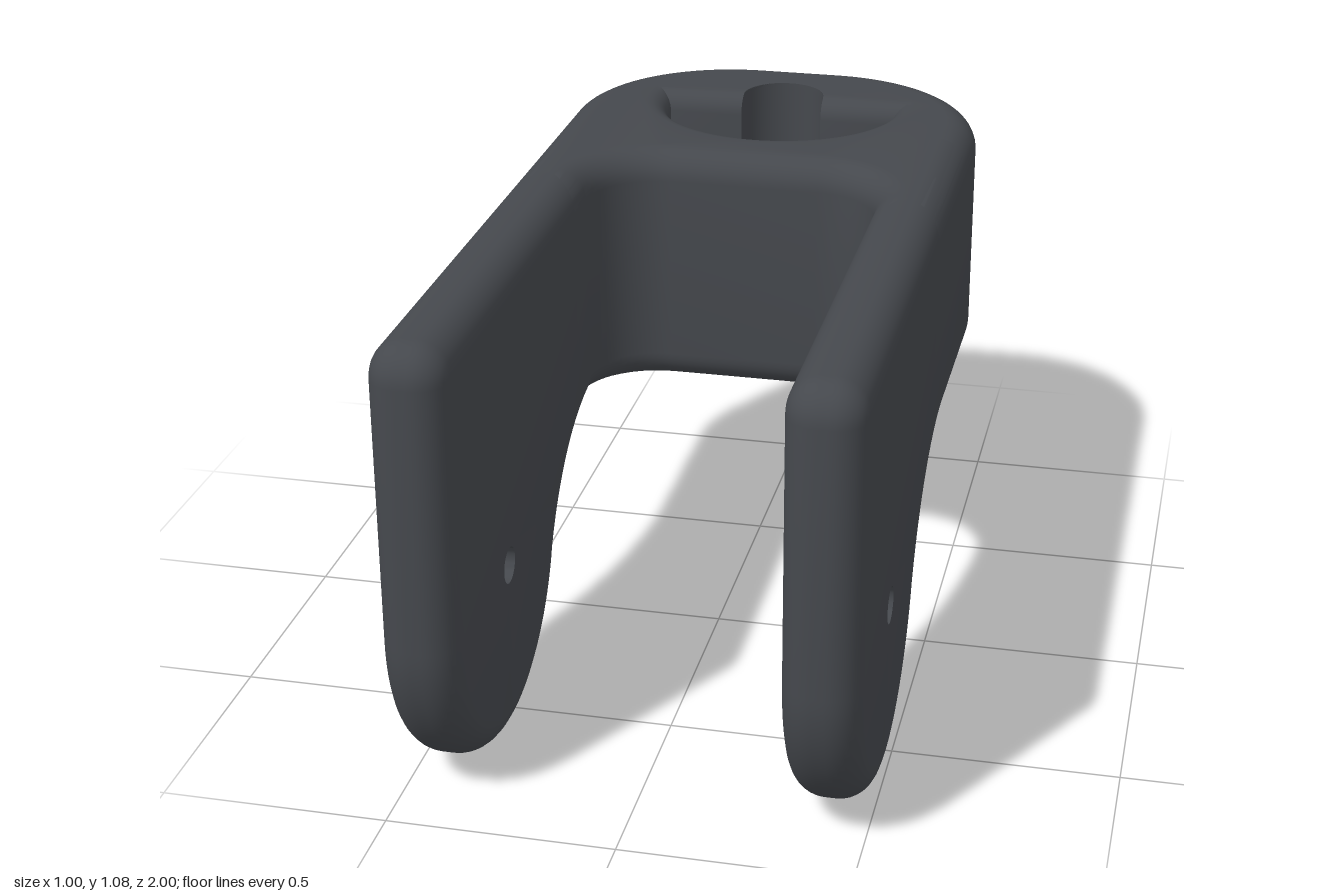
import * as THREE from 'three';
import { toCreasedNormals } from 'three/addons/utils/BufferGeometryUtils.js';

const V2 = (u, v) => new THREE.Vector2(u, v);
const BEVEL = 0.07, TOP = 1.08, UNDER = 0.5;

function arc(cu, cv, r, a0, a1, n) {
  return Array.from({ length: n + 1 }, (_, i) => {
    const a = a0 + (a1 - a0) * i / n;
    return V2(cu + r * Math.cos(a), cv + r * Math.sin(a));
  });
}

// drop points that nearly coincide with the one before
const clean = pts => pts.filter((p, i) => p.distanceTo(pts[(i + pts.length - 1) % pts.length]) > 0.004);

// move a counter-clockwise outline inwards with mitred corners
function inset(pts, d) {
  return pts.map((p, i) => {
    const prev = pts[(i + pts.length - 1) % pts.length], next = pts[(i + 1) % pts.length];
    const e0 = p.clone().sub(prev).normalize(), e1 = next.clone().sub(p).normalize();
    const n = V2(-e0.y - e1.y, e0.x + e1.x);
    return p.clone().addScaledVector(n, 2 * d / n.lengthSq());
  });
}

// collects triangles in (u, v, w), w being the direction of thickness
class Solid {
  constructor() { this.positions = []; }
  tri(...corners) { for (const [p, w] of corners) this.positions.push(p.x, p.y, w); }
  loft(rings) {
    for (let k = 0; k + 1 < rings.length; k++) {
      const [a, wa] = rings[k], [b, wb] = rings[k + 1];
      a.forEach((p, i) => {
        const j = (i + 1) % a.length;
        this.tri([p, wa], [a[j], wa], [b[j], wb]);
        this.tri([p, wa], [b[j], wb], [b[i], wb]);
      });
    }
  }
  cap(contour, holes, w, up) {
    const all = [contour, ...holes].flat();
    for (const [i, j, k] of THREE.ShapeUtils.triangulateShape(contour, holes)) {
      const a = all[i], b = all[j], c = all[k];
      const ccw = b.clone().sub(a).cross(c.clone().sub(a)) > 0;
      if (ccw === up) this.tri([a, w], [b, w], [c, w]);
      else this.tri([a, w], [c, w], [b, w]);
    }
  }
  // slab with both rims rounded over
  slab(outline, w0, w1, bottomHoles, topHoles) {
    const rings = [], steps = 8;
    for (let s = 0; s <= 2 * steps + 1; s++) {
      const upper = s > steps;
      const a = (upper ? s - steps - 1 : steps - s) / steps * Math.PI / 2;
      const ring = inset(outline, BEVEL * (1 - Math.cos(a)));
      const rise = BEVEL * (1 - Math.sin(a));
      rings.push([ring, upper ? w1 - rise : w0 + rise]);
    }
    this.loft(rings);
    this.cap(rings[0][0], bottomHoles, w0, false);
    this.cap(rings.at(-1)[0], topHoles, w1, true);
  }
  geometry(toXYZ) {
    const g = new THREE.BufferGeometry(), out = [];
    for (let i = 0; i < this.positions.length; i += 3) out.push(...toXYZ(...this.positions.slice(i, i + 3)));
    g.setAttribute('position', new THREE.Float32BufferAttribute(out, 3));
    return toCreasedNormals(g, 0.5);
  }
}

// socket outline in (z, x): half disc with a round key notch, widened by f
function socketOutline(f) {
  const r = 0.28 + f, back = -0.72 - f;
  const a = Math.PI / 2 + Math.asin(f / r);
  const b = Math.PI / 2 + Math.asin(Math.max(0, f - 0.03) / 0.1);
  return [
    ...arc(-0.72, 0, r, -a, a, 40),
    V2(back, 0.1),
    ...arc(-0.75, 0, 0.1, b, 2 * Math.PI - b, 20),
    V2(back, -0.1),
  ];
}

function bodyGeometry() {
  // half of the plan in (z, x), from the notch wall round to the back
  const half = [
    ...arc(-0.1, 0.175, 0.16, Math.PI, Math.PI / 2, 12),
    V2(0, 0.335), V2(0, 0.5),
    ...arc(-0.6, 0.1, 0.4, Math.PI / 2, Math.PI, 24),
  ];
  const outline = clean([...half, ...half.map(p => V2(p.x, -p.y)).reverse()]);

  // socket with a rounded lip, then straight walls down to a floor
  const lip = 0.05, floor = TOP - 0.4, rings = [];
  for (let s = 0; s <= 6; s++) {
    const a = (1 - s / 6) * Math.PI / 2;
    rings.push([socketOutline(lip * (1 - Math.cos(a))), TOP - lip * (1 - Math.sin(a))]);
  }
  rings.push([socketOutline(0), floor]);

  const solid = new Solid();
  solid.slab(outline, UNDER, TOP, [], [rings[0][0]]);
  solid.loft(rings);
  solid.cap(rings.at(-1)[0], [], floor, true);
  return solid.geometry((z, x, y) => [x, y, z]);
}

function armGeometry() {
  // side profile in (y, z): rounded lobe flowing into the underside
  const t = Math.atan2(0.76, 0.33);
  const outline = clean([
    V2(TOP, -0.5),
    ...arc(TOP - 0.08, 0.92, 0.08, 0, Math.PI / 2, 8),
    ...arc(0.41, 0.59, 0.41, Math.PI / 2, Math.PI + t, 48),
    ...arc(0.08, -0.17, 0.42, t, 0, 24),
    V2(UNDER, -0.5),
  ]);
  const pin = arc(0.415, 0.59, 0.041, 0, 2 * Math.PI, 32).slice(0, -1);
  const w = 0.0825;
  const solid = new Solid();
  solid.slab(outline, -w, w, [pin], [pin]);
  solid.loft([[pin, w], [pin, -w]]);
  return solid.geometry((y, z, x) => [x, y, z]);
}

export function createModel() {
  const group = new THREE.Group();
  group.name = 'clevisBracket';
  const material = new THREE.MeshStandardMaterial({ color: 0x45484d });

  const body = new THREE.Mesh(bodyGeometry(), material);
  body.name = 'socketBody';
  group.add(body);

  // matching arms with pin holes
  const geometry = armGeometry();
  for (const side of [1, -1]) {
    const arm = new THREE.Mesh(geometry, material);
    arm.name = side > 0 ? 'leftArm' : 'rightArm';
    arm.position.x = side * 0.4175;
    group.add(arm);
  }
  return group;
}
